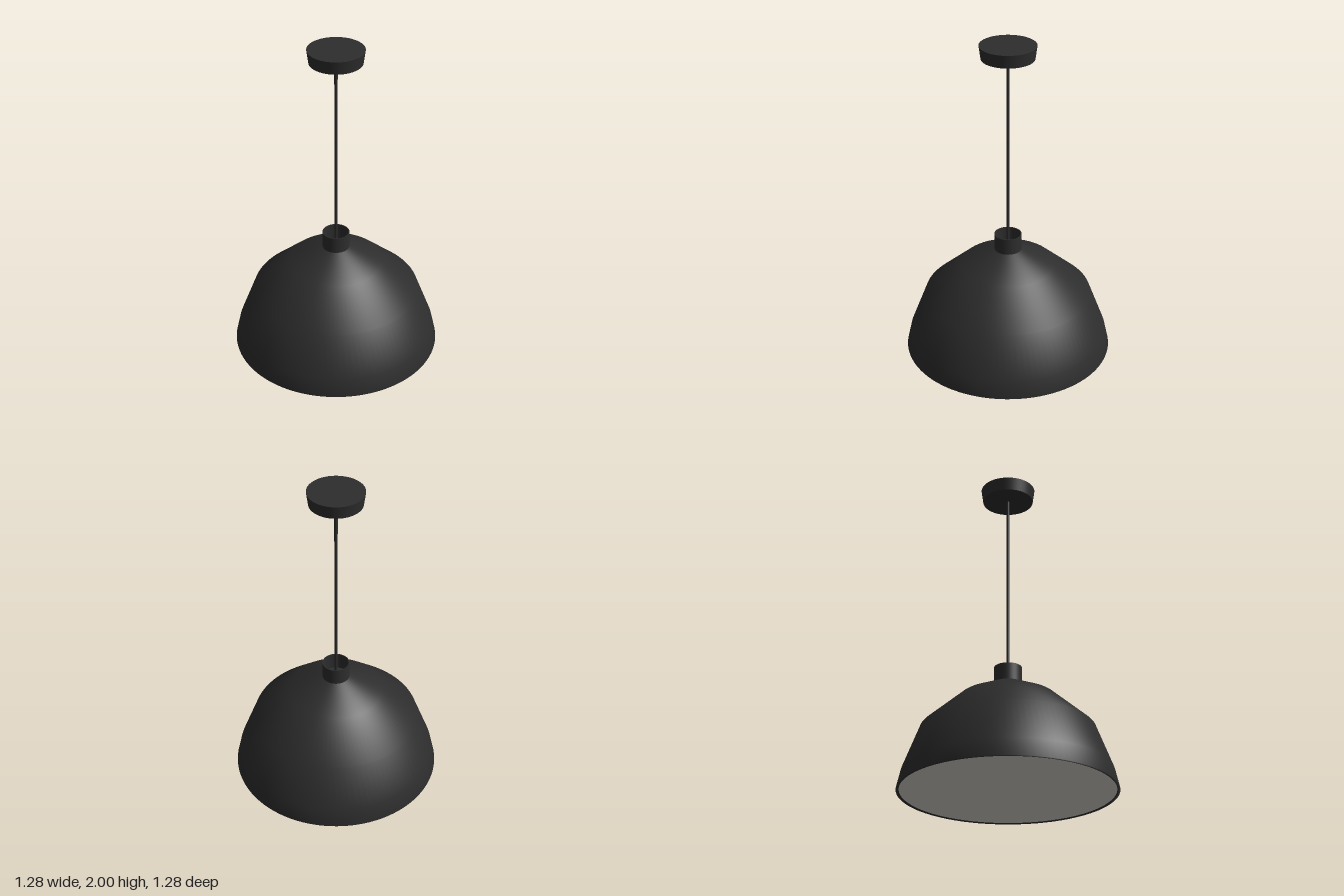
import * as THREE from 'three';

const SEGMENTS = 96;

export function createModel() {
  const group = new THREE.Group();
  group.name = 'pendantLamp';

  const black = new THREE.MeshStandardMaterial({ color: 0x2d2d2d });
  black.name = 'matte black';
  const white = new THREE.MeshStandardMaterial({ color: 0xd9d6cd });
  white.name = 'warm white';

  const add = (name, geometry, material, y = 0) => {
    const mesh = new THREE.Mesh(geometry, material);
    mesh.name = name;
    mesh.position.y = y;
    group.add(mesh);
  };
  const lathe = (points) =>
    new THREE.LatheGeometry(points.map(([r, y]) => new THREE.Vector2(r, y)), SEGMENTS);

  // Domed shade, with a narrow lip turned in at the bottom
  add('shade', lathe([
    [0.622, 0.006], [0.624, 0], [0.64, 0], [0.615, 0.11],
    [0.515, 0.372], [0.29, 0.573], [0.083, 0.672],
  ]), black);

  // Pale disc closing the opening, facing down
  const disc = new THREE.CircleGeometry(0.624, SEGMENTS);
  disc.rotateX(Math.PI / 2);
  add('diffuser', disc, white, 0.004);

  // Open cup on top of the shade: outer wall, rim, inner wall, floor
  add('neckWall', new THREE.CylinderGeometry(0.083, 0.083, 0.12, SEGMENTS, 1, true), black, 0.715);
  add('neckRim', lathe([[0.083, 0.775], [0.078, 0.775]]), black);
  add('neckInside', lathe([[0.078, 0.775], [0.078, 0.67]]), black);
  add('neckFloor', lathe([[0.083, 0.67], [0, 0.67]]), black);

  // Cord and ceiling canopy
  add('cord', new THREE.CylinderGeometry(0.01, 0.01, 1.27, 24), black, 1.295);
  add('canopy', new THREE.CylinderGeometry(0.168, 0.157, 0.08, SEGMENTS), black, 1.96);

  return group;
}
